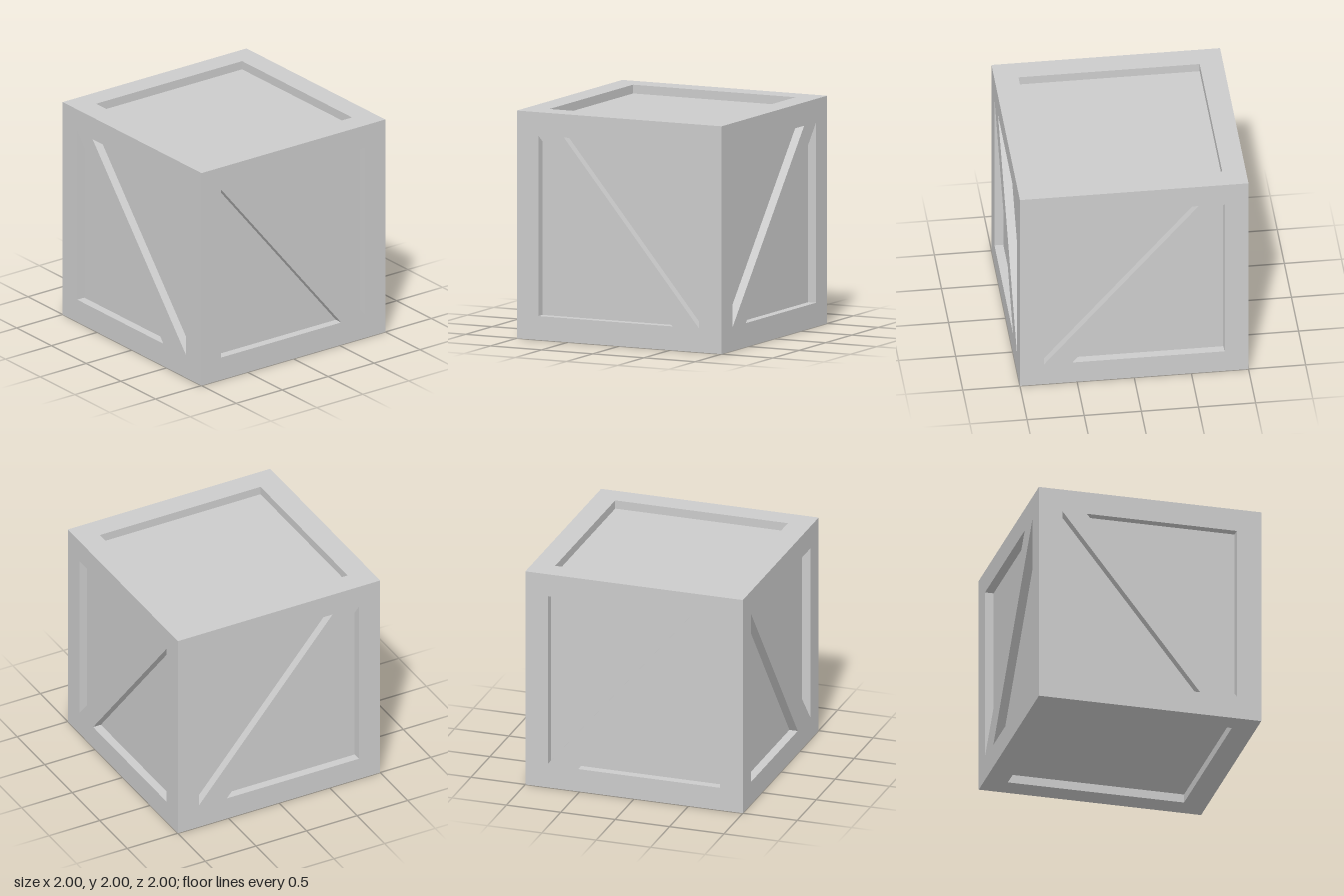
import * as THREE from 'three';
import { mergeGeometries } from 'three/addons/utils/BufferGeometryUtils.js';

const DEPTH = 0.077; // how far the panels sit behind the frame
const material = new THREE.MeshStandardMaterial({ color: 0xcccccc, flatShading: true });

const toPoints = (list) => {
  const points = list.map(([x, y]) => new THREE.Vector2(x, y));
  return THREE.ShapeUtils.isClockWise(points) ? points.reverse() : points;
};

// Inner walls of one recess, facing into the opening
function recessWalls(points) {
  const positions = [];
  points.forEach((a, i) => {
    const b = points[(i + 1) % points.length];
    const back = 1 - DEPTH;
    positions.push(a.x, a.y, 1, b.x, b.y, 1, b.x, b.y, back);
    positions.push(a.x, a.y, 1, b.x, b.y, back, a.x, a.y, back);
  });
  const geometry = new THREE.BufferGeometry();
  geometry.setAttribute('position', new THREE.Float32BufferAttribute(positions, 3));
  geometry.computeVertexNormals();
  return geometry;
}

const bare = (geometry) => {
  const g = geometry.toNonIndexed();
  g.deleteAttribute('uv');
  return g;
};

// One side of the crate: a flat frame pierced by recesses, each backed by a panel
function crateSide(name, openings) {
  const side = new THREE.Group();
  side.name = name;
  const outline = new THREE.Shape(toPoints([[-1, -1], [1, -1], [1, 1], [-1, 1]]));
  const frameParts = [];
  openings.map(toPoints).forEach((points) => {
    outline.holes.push(new THREE.Path(points));
    frameParts.push(recessWalls(points));
    const panel = new THREE.Mesh(new THREE.ShapeGeometry(new THREE.Shape(points)), material);
    panel.name = 'panel';
    panel.position.z = 1 - DEPTH;
    side.add(panel);
  });
  frameParts.push(bare(new THREE.ShapeGeometry(outline).translate(0, 0, 1)));
  const frame = new THREE.Mesh(mergeGeometries(frameParts), material);
  frame.name = 'frame';
  side.add(frame);
  return side;
}

export function createModel() {
  const crate = new THREE.Group();
  crate.name = 'crate';
  const body = new THREE.Group();
  body.name = 'body';
  body.position.y = 1;
  crate.add(body);

  const e = 0.79;
  // Openings on either side of a brace falling to the right
  const falling = (low, high) => [
    [[-e, 0.795], [-e, -e], [low, -e]],
    [[high, 0.795], [0.78, 0.795], [0.78, -e]],
  ];
  // Openings on either side of a brace rising to the right
  const rising = (low, high) => [
    [[-e, 0.795], [-e, -e], [high, 0.795]],
    [[low, -e], [e, -e], [e, 0.795]],
  ];
  const square = [[[-0.795, -e], [e, -e], [e, 0.797], [-0.795, 0.797]]];

  // name, openings, turn about x, turn about y
  const sides = [
    ['frontSide', falling(0.45, -0.57), 0, 0],
    ['leftSide', falling(0.52, -0.54), 0, Math.PI / 2],
    ['backSide', rising(-0.54, 0.565), 0, Math.PI],
    // this brace runs the other way round its two openings
    ['rightSide', [
      [[-e, 0.795], [-e, -0.775], [0.53, 0.795]],
      [[-0.515, -e], [e, -e], [e, 0.795]],
    ], 0, -Math.PI / 2],
    ['topSide', square, -Math.PI / 2, 0],
    ['bottomSide', square, Math.PI / 2, 0],
  ];
  for (const [name, openings, turnX, turnY] of sides) {
    const side = crateSide(name, openings);
    side.rotation.set(turnX, turnY, 0);
    body.add(side);
  }
  return crate;
}
